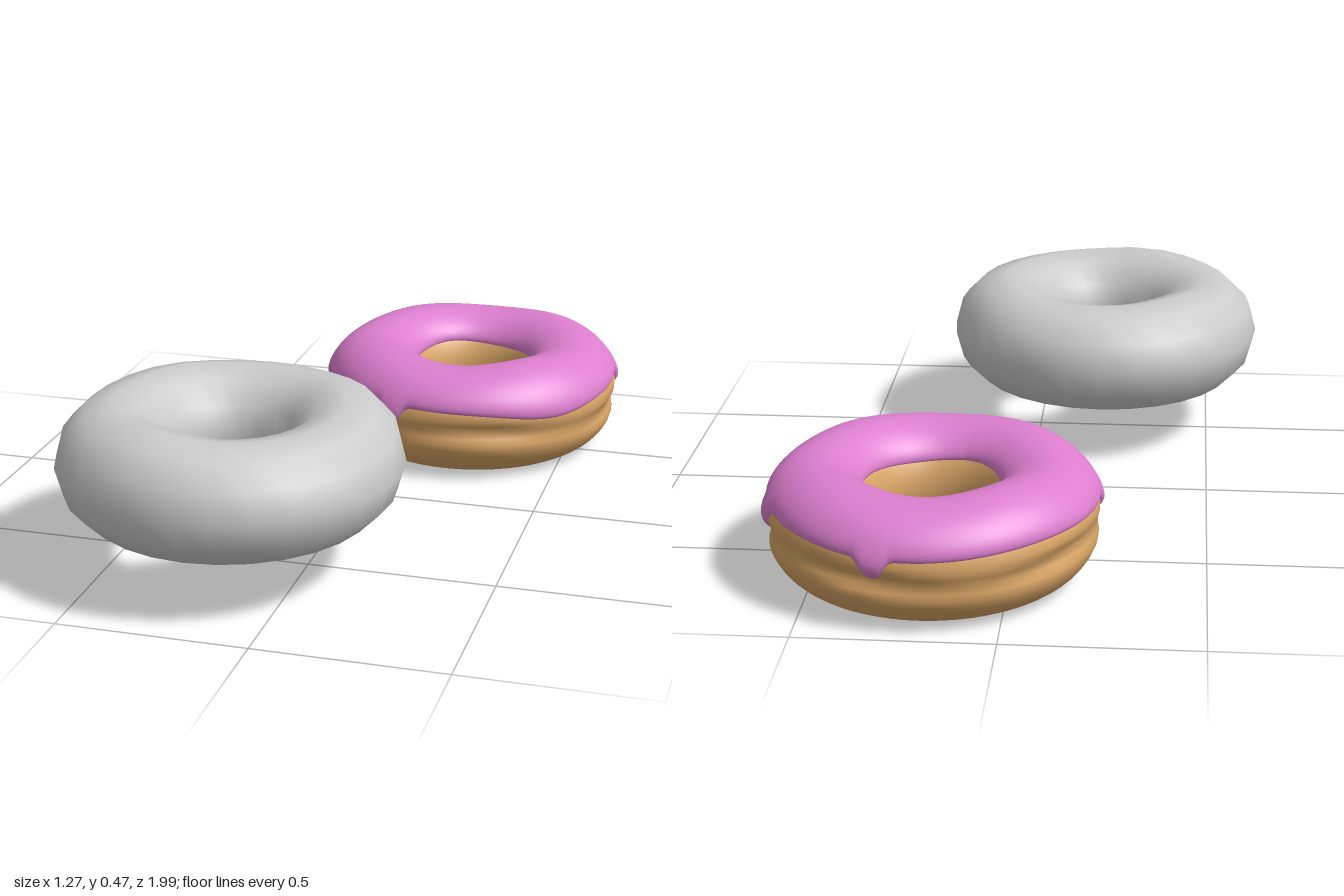
import * as THREE from 'three';
import { ParametricGeometry } from 'three/addons/geometries/ParametricGeometry.js';

const TAU = Math.PI * 2;
const rad = THREE.MathUtils.degToRad;

// Smooth lump of height 1 around one heading of the ring; a higher power gives steeper sides
function lump(az, centreDeg, width, power = 2) {
  let d = az - rad(centreDeg);
  d = Math.atan2(Math.sin(d), Math.cos(d));
  return Math.exp(-Math.pow(Math.abs(d) / width, power));
}

// Ring surface: shape(az, v) returns [radius, height]; az runs from +z towards +x
function ringMesh(name, color, shape, around, across) {
  const geometry = new ParametricGeometry((u, v, target) => {
    const az = u * TAU;
    const [r, y] = shape(az, v);
    target.set(Math.sin(az) * r, y, Math.cos(az) * r);
  }, around, across);
  const mesh = new THREE.Mesh(geometry, new THREE.MeshStandardMaterial({ color }));
  mesh.name = name;
  return mesh;
}

// Plain ring: coarse torus with gentle swellings on top
function plainShape(az, v) {
  const phi = v * TAU;
  const swell = 0.013 * (lump(az, 117, 0.45) + lump(az, -23, 0.45) + 0.6 * lump(az, 227, 0.4));
  const s = Math.sin(phi);
  return [0.297 + 0.153 * Math.cos(phi), 0.3 + 0.153 * s + swell * Math.max(0, s)];
}

// Dough cross-section with a wavering groove round the outside, grown by offset
function doughPoint(az, phi, offset) {
  const c = Math.cos(phi), s = Math.sin(phi);
  const side = Math.atan2(s, c);
  const grooveAt = -0.08 + 0.07 * Math.sin(3 * az + 1);
  const groove = (0.017 + 0.005 * Math.sin(5 * az)) * Math.exp(-Math.pow((side - grooveAt) / 0.2, 2));
  const wave = 0.006 * Math.cos(4 * (az - rad(45)));
  const tall = s > 0 ? 0.142 + wave * s : 0.15;
  return [0.293 + (0.138 - groove + offset) * c, 0.15 + (tall + offset) * s];
}

// Icing: shell over the top of the dough, with a wavy rim, four drips and rounded edges
const drips = [[-21, 0.4], [107, 0.42], [166, 0.38], [279, 0.3]];
function icingShape(az, v) {
  let outer = 0.38 + 0.04 * Math.sin(3 * az + 2) - 0.12 * lump(az, 45, 0.35);
  for (const [deg, depth] of drips) outer -= depth * lump(az, deg, 0.08, 3);
  const inner = Math.PI - 0.55 + 0.04 * Math.sin(3 * az);
  const t = -Math.cos(Math.PI * v);
  const phi = THREE.MathUtils.lerp(outer, inner, (t + 1) / 2);
  const thickness = 0.018 * Math.sqrt(Math.max(0, 1 - Math.pow(t, 8))) - 0.003;
  return doughPoint(az, phi, thickness);
}

export function createModel() {
  const model = new THREE.Group();
  model.name = 'donuts';

  const plain = ringMesh('plainDonut', 0xcccccc, plainShape, 28, 12);
  plain.position.set(-0.19, 0, 0.548);

  const iced = new THREE.Group();
  iced.name = 'icedDonut';
  iced.position.set(0.2, 0, -0.565);
  iced.add(
    ringMesh('dough', 0xd9a566, (az, v) => doughPoint(az, v * TAU, 0), 96, 48),
    ringMesh('icing', 0xdd7fcf, icingShape, 240, 40),
  );

  model.add(plain, iced);
  return model;
}
